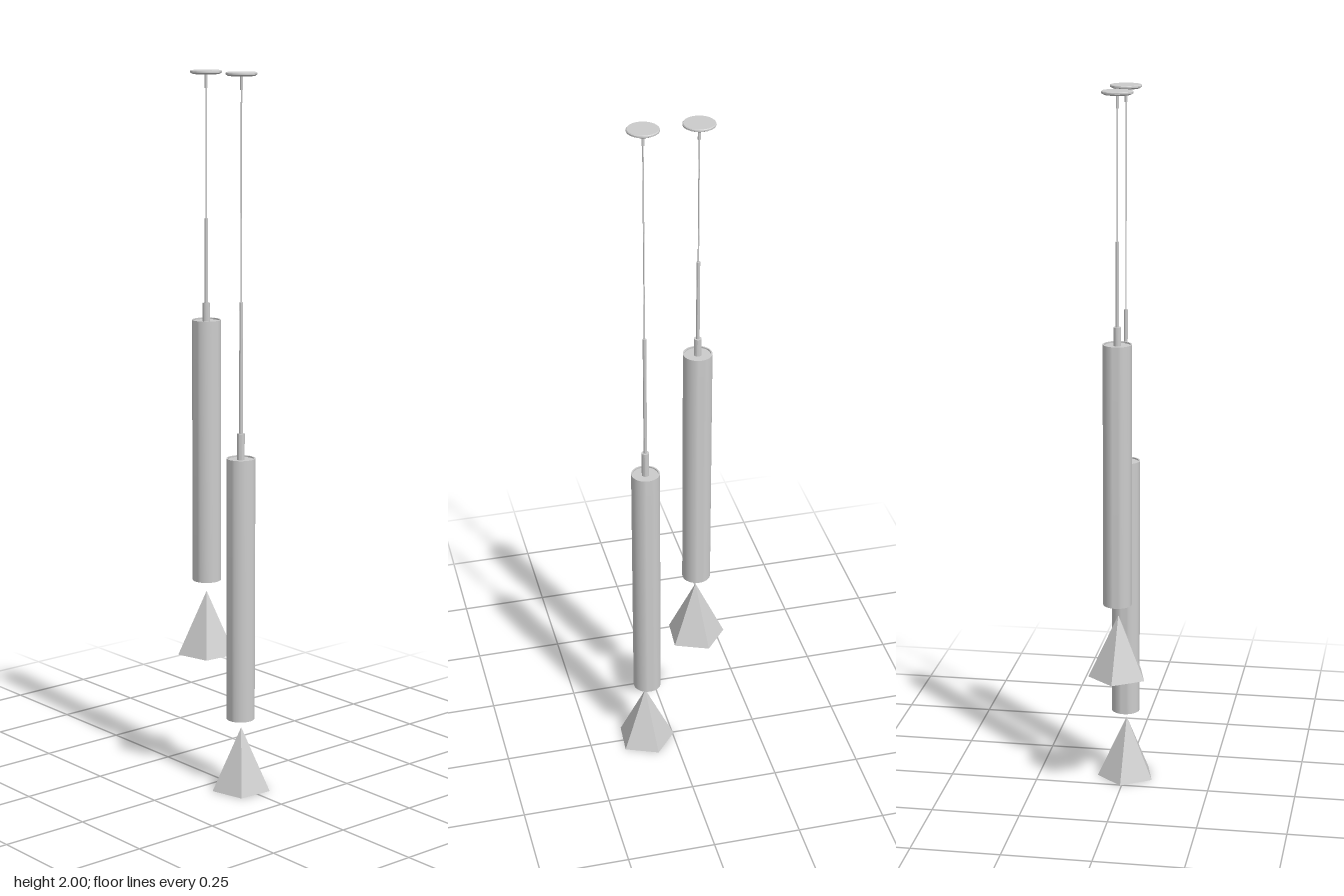
import * as THREE from 'three';
import { toCreasedNormals } from 'three/addons/utils/BufferGeometryUtils.js';

const grey = new THREE.MeshStandardMaterial({ color: 0xcccccc, side: THREE.DoubleSide });
const faceted = new THREE.MeshStandardMaterial({ color: 0xcccccc, side: THREE.DoubleSide, flatShading: true });

function add(group, name, geometry, material = grey) {
  const mesh = new THREE.Mesh(geometry, material);
  mesh.name = name;
  group.add(mesh);
  return mesh;
}

// Turned part from [radius, y] points, listed from bottom to top
function turned(points, sides = 32) {
  const profile = points.map(([r, y]) => new THREE.Vector2(r, y));
  return toCreasedNormals(new THREE.LatheGeometry(profile, sides), 0.6);
}

const rod = (r, y0, y1, sides = 16) => turned([[0, y0], [r, y0], [r, y1], [0, y1]], sides);

function createPendant({ name, z, shadeZ, base, tubeBottom, tubeTop, collarTop, rodTop }) {
  const pendant = new THREE.Group();
  pendant.name = name;
  pendant.position.z = z;

  // Five-sided open pyramid floating below the tube
  const height = 0.18;
  const shade = add(pendant, 'pyramidShade', new THREE.ConeGeometry(0.0845, height, 5, 1, true), faceted);
  shade.position.set(-0.002, base + height / 2, shadeZ - z);
  shade.rotation.y = 3.07;

  // Long tube with a recessed underside and a shallow recess on top
  add(pendant, 'lampTube', turned([
    [0, tubeBottom + 0.02], [0.036, tubeBottom + 0.02], [0.036, tubeBottom], [0.04, tubeBottom],
    [0.04, tubeTop], [0.036, tubeTop], [0.036, tubeTop - 0.004], [0, tubeTop - 0.004],
  ]));

  // Collar, stiff rod and thin cable
  add(pendant, 'collar', rod(0.0105, tubeTop - 0.004, collarTop));
  add(pendant, 'rod', rod(0.005, collarTop, rodTop));
  add(pendant, 'cable', rod(0.002, rodTop, 1.96, 8));

  // Ceiling canopy with its cable grip
  add(pendant, 'cableGrip', rod(0.004, 1.953, 1.992));
  add(pendant, 'ceilingCanopy', turned([[0, 1.989], [0.036, 1.99], [0.043, 1.994], [0.043, 1.998], [0.041, 2], [0, 2]], 40));
  return pendant;
}

export function createModel() {
  const model = new THREE.Group();
  model.name = 'pendantLamps';
  model.add(
    createPendant({
      name: 'frontPendant', z: 0.076, shadeZ: 0.0815, base: 0,
      tubeBottom: 0.205, tubeTop: 0.953, collarTop: 1.022, rodTop: 1.385,
    }),
    createPendant({
      name: 'backPendant', z: -0.071, shadeZ: -0.0695, base: 0.365,
      tubeBottom: 0.578, tubeTop: 1.32, collarTop: 1.367, rodTop: 1.6,
    }),
  );
  return model;
}
